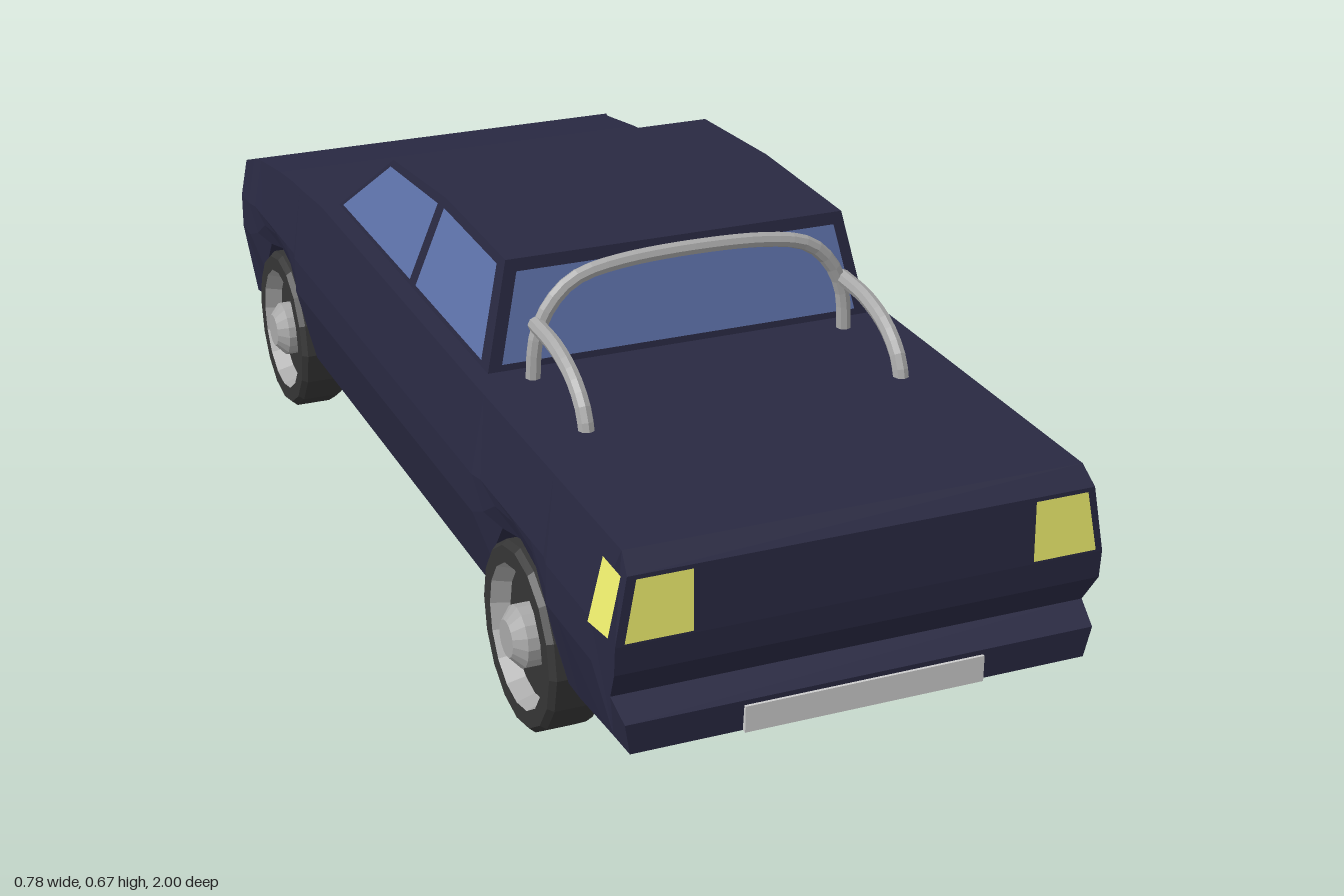
import * as THREE from 'three';

const mat = (color, side = THREE.FrontSide) =>
  new THREE.MeshStandardMaterial({ color, side, flatShading: true });
const paint = mat(0x292942);
const glass = mat(0x6074ad, THREE.DoubleSide);
const lamp = mat(0xf2f270, THREE.DoubleSide);
const rubber = mat(0x353535, THREE.DoubleSide);
const metal = mat(0xa8a8a8, THREE.DoubleSide);
const plateMat = mat(0xcccccc);

// Half width of the body at a given height
const WIDTHS = [[0.147, 0.347], [0.175, 0.36], [0.25, 0.374], [0.29, 0.383], [0.355, 0.383], [0.485, 0.36]];
function bodyX(y) {
  if (y <= WIDTHS[0][0]) return WIDTHS[0][1];
  for (let i = 1; i < WIDTHS.length; i++) {
    const [y0, x0] = WIDTHS[i - 1], [y1, x1] = WIDTHS[i];
    if (y <= y1) return x0 + (x1 - x0) * (y - y0) / (y1 - y0);
  }
  return 0.36;
}
const cabinX = (y) => 0.327 - (y - 0.49) * 0.23;

function geometryFrom(positions, index) {
  let g = new THREE.BufferGeometry();
  g.setAttribute('position', new THREE.Float32BufferAttribute(positions.flat(), 3));
  g.setIndex(index);
  g = g.toNonIndexed();
  g.computeVertexNormals();
  return g;
}

// Skin over equal-length rings ordered along z, with both ends capped
function loft(rings) {
  const n = rings[0].length, index = [];
  for (let i = 0; i < rings.length - 1; i++)
    for (let j = 0; j < n; j++) {
      const k = (j + 1) % n, a = i * n, b = a + n;
      index.push(a + j, a + k, b + k, a + j, b + k, b + j);
    }
  const e = (rings.length - 1) * n;
  for (let j = 1; j < n - 1; j++) index.push(0, j + 1, j, e, e + j, e + j + 1);
  return geometryFrom(rings.flat(), index);
}

// Side profile of [z, y] points extruded across the car, width varying with height
function slab(profile, widthAt) {
  const shape = new THREE.Shape(profile.map(([z, y]) => new THREE.Vector2(z, y)));
  const g = new THREE.ExtrudeGeometry(shape, { depth: 2, bevelEnabled: false });
  g.translate(0, 0, -1).rotateY(-Math.PI / 2);
  const p = g.attributes.position;
  for (let i = 0; i < p.count; i++) p.setX(i, p.getX(i) * widthAt(p.getY(i)));
  g.computeVertexNormals();
  return g;
}

const quad = (pts) => geometryFrom(pts, [0, 1, 2, 0, 2, 3]);

export function createModel() {
  const model = new THREE.Group();
  const add = (name, geometry, material, parent = model) => {
    const m = new THREE.Mesh(geometry, material);
    m.name = name;
    parent.add(m);
    return m;
  };

  // Body stations: z, bottom, crease, top, and optional widths of bottom, crease, shoulder, top
  const arch = (c, top) => [-0.16, -0.135, -0.08, 0, 0.08, 0.135, 0.16].map((d, i) => {
    const k = Math.min(i, 6 - i);
    const bottom = [0.15, 0.22, 0.295, 0.315][k], crease = [0.29, 0.3, 0.335, 0.345][k];
    const t = top(c + d);
    return k ? [c + d, bottom, crease, t, [0.362, 0.374, 0.377, 0.36]] : [c + d, bottom, crease, t];
  });
  const hood = (z) => (z > -0.69 ? 0.475 + (z + 0.69) * 0.07 : 0.475 + (z + 0.69) * 0.16);
  const stations = [
    [-0.985, 0.155, 0.29, 0.405, [0.2, 0.2, 0.2, 0.2]],
    [-0.94, 0.15, 0.29, 0.425, [0.36, 0.383, 0.383, 0.37]],
    ...arch(-0.73, hood),
    [-0.455, 0.15, 0.29, 0.493],
    [0.36, 0.15, 0.29, 0.485],
    ...arch(0.565, () => 0.485),
    [0.77, 0.15, 0.29, 0.485],
    [0.9, 0.177, 0.29, 0.485],
  ];
  const rings = stations.map(([z, bottom, crease, top, w]) => {
    const ys = [bottom, crease, 0.355, top];
    const half = ys.map((y, i) => [w ? w[i] : bodyX(y), y, z]);
    return [...half, ...half.map(([x, y, zz]) => [-x, y, zz]).reverse()];
  });
  add('body', loft(rings), paint);

  // Floor between the wheel wells
  const floor = new THREE.BoxGeometry(0.56, 0.19, 1.68);
  floor.translate(0, 0.245, -0.08);
  add('floor', floor, paint);

  // Tail panel with the stepped bumper
  add('tail', slab([
    [0.9, 0.177], [0.93, 0.18], [0.992, 0.185], [0.996, 0.235], [0.955, 0.26], [0.985, 0.31],
    [0.988, 0.355], [0.985, 0.46], [0.955, 0.485], [0.9, 0.485], [0.9, 0.355], [0.9, 0.29],
  ], bodyX), paint);

  // Cabin
  add('cabin', slab([
    [0.335, 0.48], [0.31, 0.66], [0.03, 0.665], [-0.235, 0.645], [-0.455, 0.493], [-0.455, 0.48],
  ], cabinX), paint);

  // Glass at both ends of the cabin
  const bedZ = (y) => 0.338 - (y - 0.48) * 0.139;
  add('bedWindow', quad([
    [-0.305, 0.497, bedZ(0.497)], [0.305, 0.497, bedZ(0.497)],
    [0.272, 0.641, bedZ(0.641)], [-0.272, 0.641, bedZ(0.641)],
  ]), glass);
  add('windshield', quad([
    [-0.312, 0.507, -0.442], [-0.28, 0.637, -0.253], [0.28, 0.637, -0.253], [0.312, 0.507, -0.442],
  ]), glass);

  const sideWindows = {
    bedSideWindow: [[0.305, 0.497], [-0.02, 0.5], [0.035, 0.651], [0.287, 0.647]],
    hoodSideWindow: [[-0.05, 0.5], [-0.428, 0.502], [-0.235, 0.634], [0.005, 0.649]],
  };
  // Wheel profiles: [radius, offset along the axle]
  const wheelParts = [
    ['tyre', [[0, -0.0425], [0.145, -0.0425], [0.15, -0.03], [0.15, 0.033], [0.142, 0.0425], [0.115, 0.0425]], rubber],
    ['rim', [[0.115, 0.0425], [0.105, 0.012]], metal],
    ['wheelDish', [[0.105, 0.012], [0, 0.012]], rubber],
    ['hub', [[0.05, 0.012], [0.05, 0.04], [0.03, 0.058], [0, 0.058]], metal],
  ];

  for (const s of [1, -1]) {
    const side = s > 0 ? 'left' : 'right';
    // Side windows
    for (const [name, pts] of Object.entries(sideWindows))
      add(side + name, quad(pts.map(([z, y]) => [s * (cabinX(y) + 0.003), y, z])), glass);

    // Tail lamps wrapping round the corner
    add(side + 'TailLamp', quad([
      [s * 0.267, 0.36, 0.991], [s * 0.37, 0.36, 0.991], [s * 0.352, 0.455, 0.988], [s * 0.267, 0.455, 0.988],
    ]), lamp);
    add(side + 'TailLampSide', quad([
      [0.967, 0.36], [0.895, 0.35], [0.908, 0.455], [0.972, 0.455],
    ].map(([z, y]) => [s * (bodyX(y) + 0.003), y, z])), lamp);

    // Lamps on the angled nose corners
    const noseZ = (x) => -0.988 + (x - 0.2) * 0.25;
    add(side + 'NoseLamp', quad([
      [0.285, 0.32], [0.35, 0.315], [0.345, 0.385], [0.285, 0.39],
    ].map(([x, y]) => [s * x, y, noseZ(x) - 0.004])), lamp);

    // Wheels
    for (const [end, z] of [['Tail', 0.565], ['Nose', -0.73]]) {
      const wheel = new THREE.Group();
      wheel.name = side + end + 'Wheel';
      for (const [name, pts, m] of wheelParts) {
        const g = new THREE.LatheGeometry(pts.map(([r, a]) => new THREE.Vector2(r, a)), 16);
        add(name, g.rotateZ(-Math.PI / 2), m, wheel);
      }
      wheel.position.set(s * 0.33, 0.15, z);
      if (s < 0) wheel.rotation.y = Math.PI;
      model.add(wheel);
    }

    // Roll bar brace
    const brace = new THREE.CatmullRomCurve3([
      [0.37, 0.573], [0.46, 0.568], [0.53, 0.545], [0.57, 0.51], [0.583, 0.475],
    ].map(([z, y]) => new THREE.Vector3(s * 0.262, y, z)));
    add(side + 'RollBarBrace', new THREE.TubeGeometry(brace, 12, 0.013, 8), metal);
  }

  // Roll bar hoop
  const arc = [[0.268, 0.475], [0.262, 0.55], [0.24, 0.6], [0.2, 0.638], [0.12, 0.657]];
  const hoop = new THREE.CatmullRomCurve3([
    ...arc, ...arc.map(([x, y]) => [-x, y]).reverse(),
  ].map(([x, y]) => new THREE.Vector3(x, y, 0.372)));
  add('rollBar', new THREE.TubeGeometry(hoop, 32, 0.0125, 8), metal);

  // Blank number plates
  const tailPlate = new THREE.BoxGeometry(0.38, 0.042, 0.012);
  add('tailPlate', tailPlate, plateMat).position.set(0, 0.206, 0.994);
  const nosePlate = new THREE.BoxGeometry(0.36, 0.045, 0.014);
  add('nosePlate', nosePlate, plateMat).position.set(0, 0.268, -0.99);

  return model;
}
